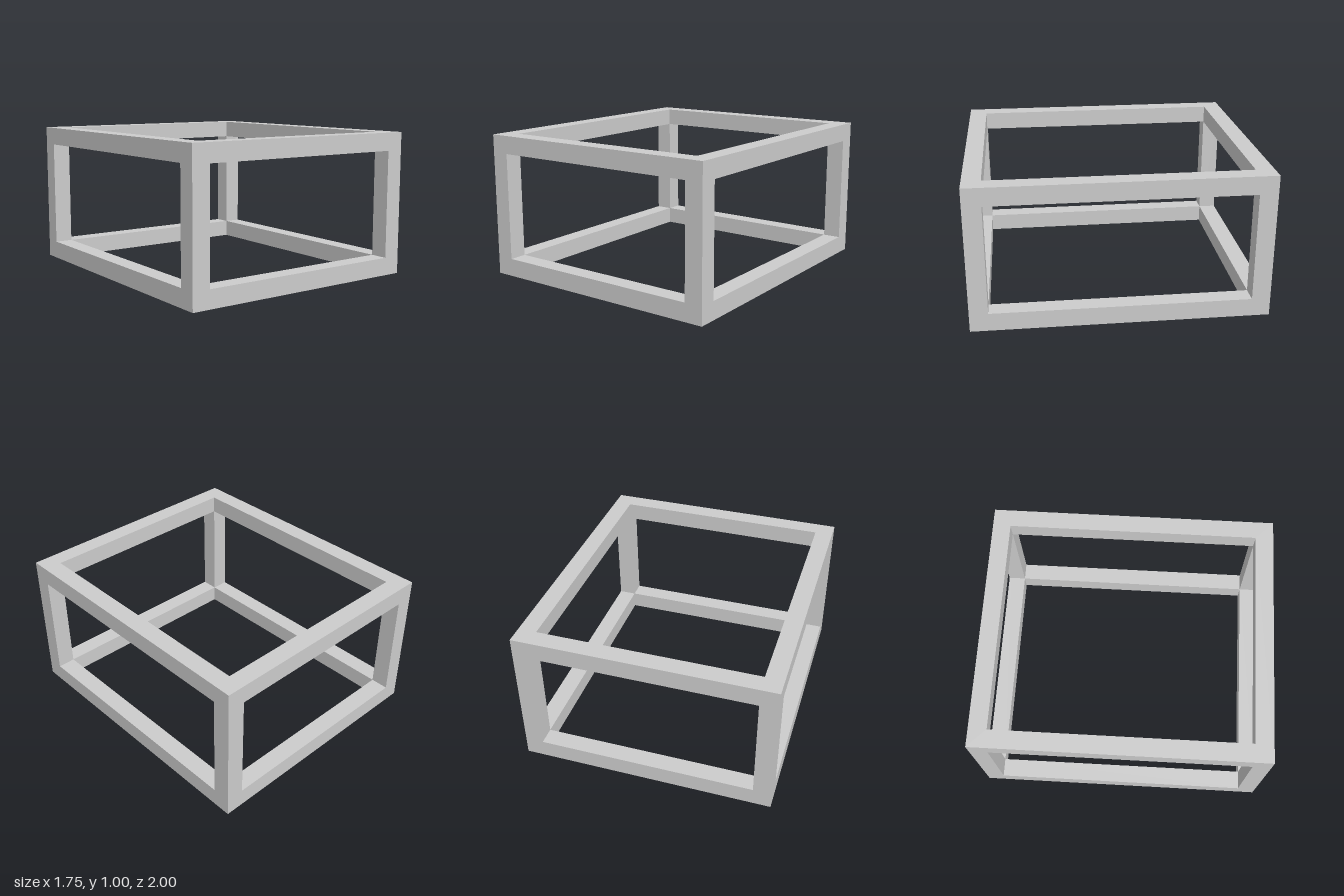
import * as THREE from 'three';

const WIDTH = 1.75, HEIGHT = 1, DEPTH = 2, BAR = 0.125;

// Counter-clockwise rectangle centred on the origin
function rectangle(PathType, w, d) {
  return new PathType([
    new THREE.Vector2(-w / 2, -d / 2),
    new THREE.Vector2(w / 2, -d / 2),
    new THREE.Vector2(w / 2, d / 2),
    new THREE.Vector2(-w / 2, d / 2),
  ]);
}

export function createModel() {
  const group = new THREE.Group();
  group.name = 'openBoxFrame';
  const material = new THREE.MeshStandardMaterial({ color: 0xcccccc, flatShading: true });

  const add = (name, geometry, x, y, z) => {
    const mesh = new THREE.Mesh(geometry, material);
    mesh.name = name;
    mesh.position.set(x, y, z);
    group.add(mesh);
  };

  // Bottom and top rectangular rings
  const outline = rectangle(THREE.Shape, WIDTH, DEPTH);
  outline.holes.push(rectangle(THREE.Path, WIDTH - 2 * BAR, DEPTH - 2 * BAR));
  const ring = new THREE.ExtrudeGeometry(outline, { depth: BAR, bevelEnabled: false });
  ring.rotateX(-Math.PI / 2);
  add('bottomRing', ring, 0, 0, 0);
  add('topRing', ring, 0, HEIGHT - BAR, 0);

  // Four corner posts between the rings
  const post = new THREE.BoxGeometry(BAR, HEIGHT - 2 * BAR, BAR);
  for (const [side, sx] of [['Left', 1], ['Right', -1]]) {
    for (const [end, sz] of [['front', 1], ['back', -1]]) {
      add(`${end}${side}Post`, post, sx * (WIDTH - BAR) / 2, HEIGHT / 2, sz * (DEPTH - BAR) / 2);
    }
  }
  return group;
}
